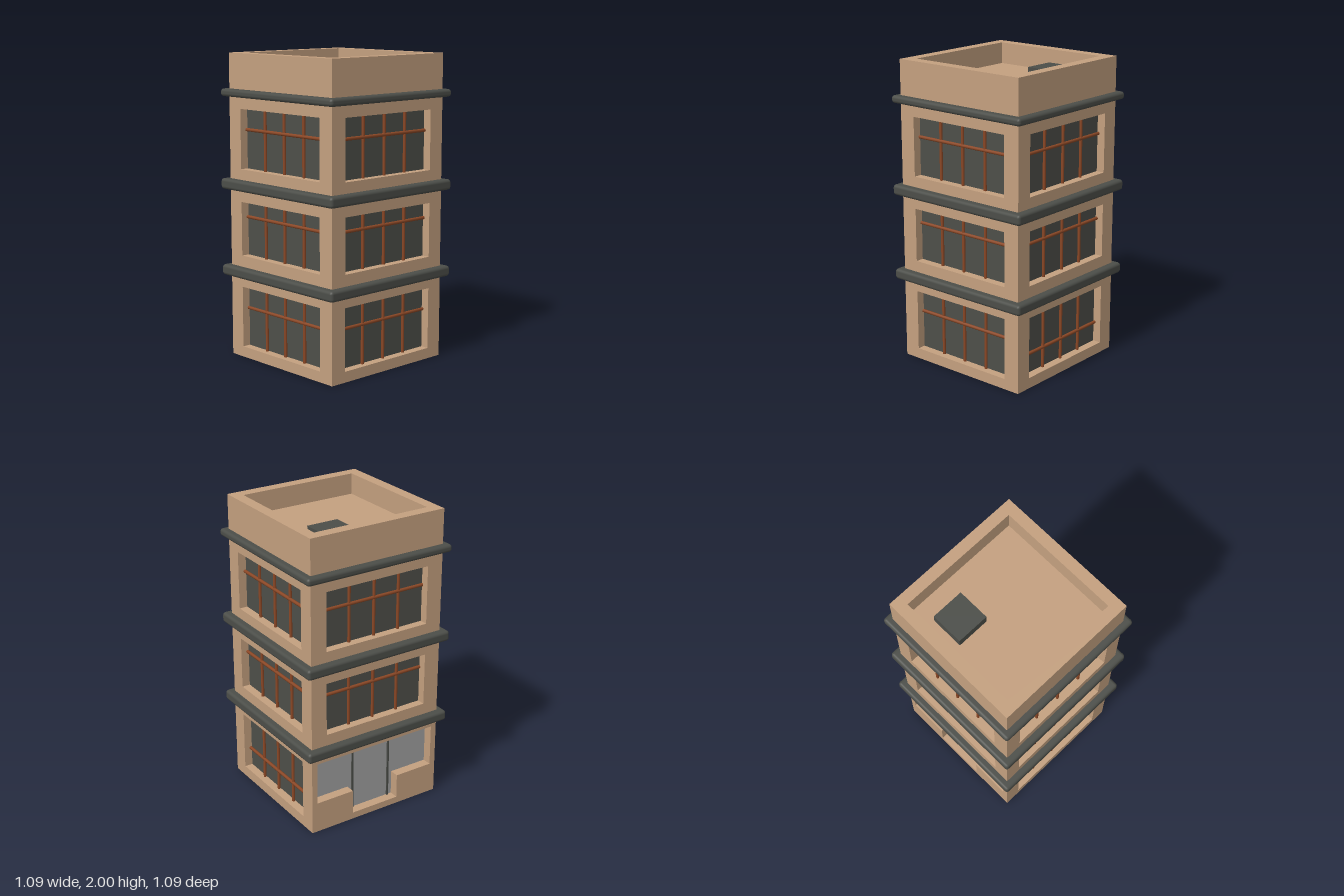
import * as THREE from 'three';
import { RoundedBoxGeometry } from 'three/addons/geometries/RoundedBoxGeometry.js';

const H = 0.485, T = 0.075, GLASS_Z = 0.425, WIN = 0.375;
const mat = (name, color) => {
  const m = new THREE.MeshStandardMaterial({ color });
  m.name = name;
  return m;
};

export function createModel() {
  const wallMat = mat('tan wall', 0xc4a07f);
  const trimMat = mat('dark trim', 0x4c4e49);
  const glassMat = mat('dark glass', 0x4e4f49);
  const barMat = mat('rust bars', 0x8c4826);
  const doorMat = mat('grey shop glass', 0xa0a0a0);

  const model = new THREE.Group();
  model.name = 'building';

  const add = (parent, name, geo, material, x = 0, y = 0, z = 0) => {
    const m = new THREE.Mesh(geo, material);
    m.name = name;
    m.position.set(x, y, z);
    parent.add(m);
    return m;
  };
  const box = (parent, name, material, w, h, d, x, y, z) =>
    add(parent, name, new THREE.BoxGeometry(w, h, d), material, x, y, z);

  // window rows: bottom, top, height of the crossbar
  const upper = [[0.685, 1.04, 0.94], [1.255, 1.645, 1.51]];
  const ground = (bar) => [[0.07, 0.475, bar]];

  // shop opening outline with a low wall on either side of the door
  const shopOutline = [
    [-0.445, 0.21], [-0.175, 0.21], [-0.175, 0.045], [0.175, 0.045],
    [0.175, 0.21], [0.445, 0.21], [0.445, 0.495], [-0.445, 0.495],
  ];

  // one wall facing +z with its windows, then turned into place
  function addSide(name, angle, halfWidth, windows, shop) {
    const side = new THREE.Group();
    side.name = name;
    side.rotation.y = angle;
    const outline = [[-halfWidth, 0], [halfWidth, 0], [halfWidth, 2], [-halfWidth, 2]];
    const toPoints = (list) => list.map(([x, y]) => new THREE.Vector2(x, y));
    const shape = new THREE.Shape(toPoints(outline));
    for (const [y0, y1] of windows) {
      shape.holes.push(new THREE.Path(toPoints([[-WIN, y0], [-WIN, y1], [WIN, y1], [WIN, y0]])));
    }
    if (shop) shape.holes.push(new THREE.Path(toPoints(shopOutline)));
    const geo = new THREE.ExtrudeGeometry(shape, { depth: T, bevelEnabled: false });
    add(side, 'wall', geo, wallMat, 0, 0, H - T);

    for (const [y0, y1, bar] of windows) {
      const h = y1 - y0, mid = (y0 + y1) / 2;
      box(side, 'windowGlass', glassMat, WIN * 2, h, 0.008, 0, mid, GLASS_Z);
      for (const x of [-0.183, 0, 0.183]) {
        add(side, 'verticalBar', new THREE.CylinderGeometry(0.01, 0.01, h, 8), barMat, x, mid, GLASS_Z + 0.015);
      }
      const cross = add(side, 'crossbar', new THREE.CylinderGeometry(0.011, 0.011, 0.73, 8), barMat, 0, bar, GLASS_Z + 0.018);
      cross.rotation.z = Math.PI / 2;
    }
    if (shop) {
      box(side, 'shopGlass', doorMat, 0.82, 0.455, 0.008, 0, 0.2675, GLASS_Z - 0.008);
      // shallow backing closes the outer ends of the shop opening
      for (const s of [-1, 1]) {
        box(side, 'shopGlassEnd', doorMat, 0.04, 0.285, 0.008, s * 0.425, 0.3525, GLASS_Z - 0.008);
        box(side, 'doorPost', trimMat, 0.012, 0.45, 0.012, s * 0.14, 0.27, GLASS_Z);
      }
    }
    model.add(side);
  }

  addSide('frontSide', 0, H, [...ground(0.33), ...upper], false);
  addSide('backSide', Math.PI, H, upper, true);
  addSide('leftSide', Math.PI / 2, H - T, [...ground(0.21), ...upper], false);
  addSide('rightSide', -Math.PI / 2, H - T, [...ground(0.33), ...upper], false);

  // floor and sunken roof inside the walls
  const inner = 2 * (H - T);
  box(model, 'baseFloor', wallMat, inner, 0.03, inner, 0, 0.015, 0);
  box(model, 'roofDeck', wallMat, inner, 0.05, inner, 0, 1.835, 0);
  box(model, 'roofUnit', trimMat, 0.217, 0.07, 0.217, 0.165, 1.893, -0.2285);

  // rounded ledges between the storeys
  for (const [y0, y1, half] of [[0.54, 0.61, 0.533], [1.115, 1.185, 0.533], [1.72, 1.77, 0.529]]) {
    const geo = new RoundedBoxGeometry(half * 2, y1 - y0, half * 2, 2, 0.02);
    add(model, 'ledge', geo, trimMat, 0, (y0 + y1) / 2, 0);
  }

  // slight turn of the whole building
  model.rotation.y = -0.0206;
  const root = new THREE.Group();
  root.name = 'officeBlock';
  root.add(model);
  return root;
}
